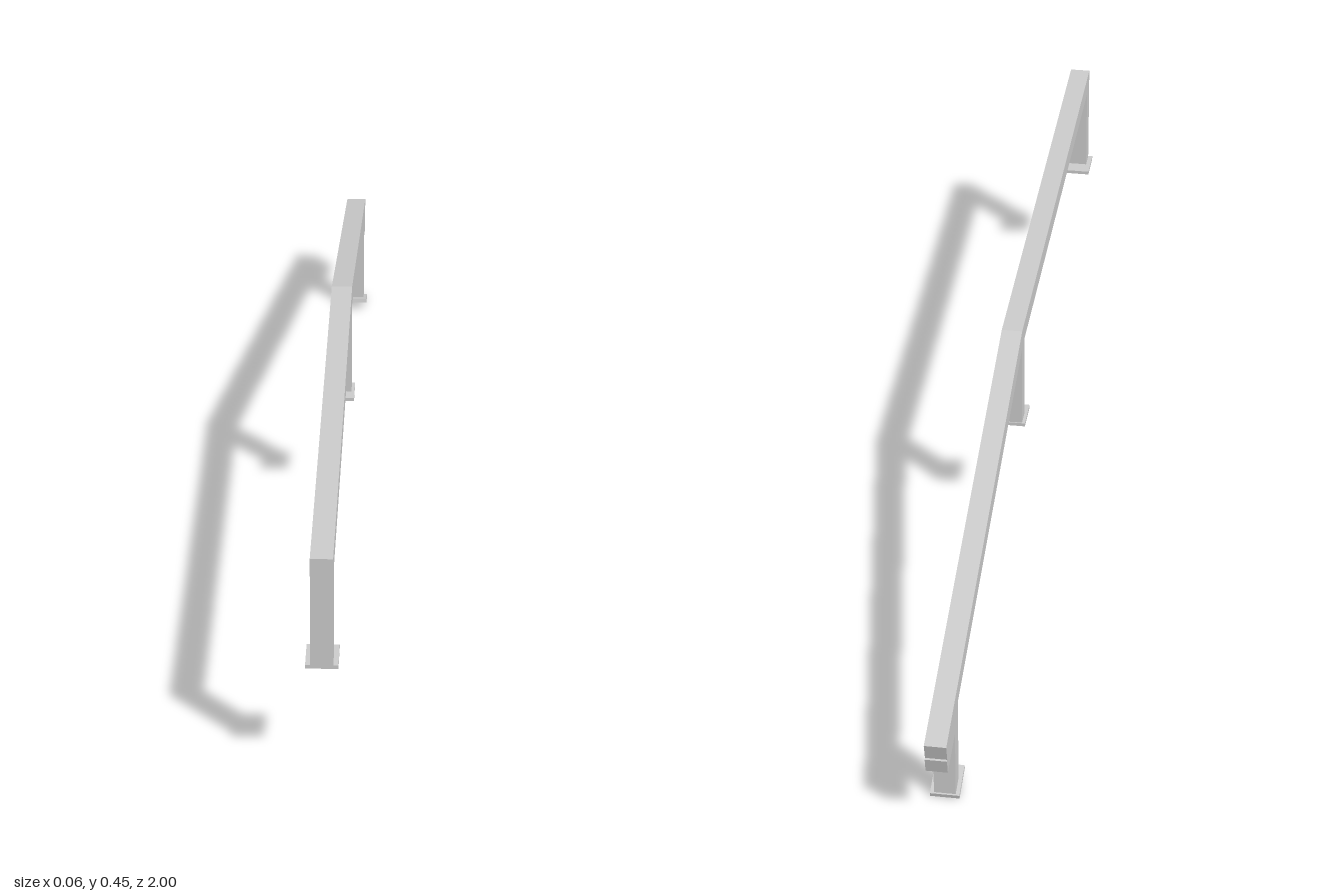
import * as THREE from 'three';

const material = new THREE.MeshStandardMaterial({ color: 0xcccccc, flatShading: true });

// Side outline given as [z, y] points, extruded across x and centred
function sidePart(name, width, points) {
  const shape = new THREE.Shape(points.map(([z, y]) => new THREE.Vector2(z, y)));
  const geometry = new THREE.ExtrudeGeometry(shape, { depth: width, bevelEnabled: false });
  geometry.translate(0, 0, -width / 2).rotateY(-Math.PI / 2);
  const mesh = new THREE.Mesh(geometry, material);
  mesh.name = name;
  return mesh;
}

const rect = (z0, z1, y0, y1) => [[z0, y0], [z1, y0], [z1, y1], [z0, y1]];

export function createModel() {
  const group = new THREE.Group();
  group.name = 'handrail';

  const bar = 0.04;                       // tube width across x
  const top = 0.453, under = 0.416;       // level rail heights
  const bend = -0.045;                    // where the rail starts to descend
  const slope = Math.tan(THREE.MathUtils.degToRad(15));
  const topAt = z => top + (z - bend) * slope;
  const underAt = z => topAt(z) - 0.038;

  // Level rail, mitred into the sloping rail
  const miter = [bend + 0.005, under];
  group.add(sidePart('levelRail', bar, [[1, top], [1, under], miter, [bend, top]]));
  group.add(sidePart('slopingRail', bar,
    [[bend, top], miter, [-0.99, underAt(-0.99)], [-1, topAt(-1)]]));

  // Short stub under the low end of the sloping rail
  group.add(sidePart('endStub', bar, [
    [-0.903, underAt(-0.903)], [-0.903, underAt(-0.903) - 0.034],
    [-0.986, underAt(-0.986) - 0.034], [-0.994, underAt(-0.994)],
  ]));

  // Posts
  group.add(sidePart('frontPost', bar, rect(0.963, 1, 0.238, under)));
  group.add(sidePart('middlePost', bar, rect(-0.046, -0.01, 0.238, under)));
  group.add(sidePart('rearPost', bar, [
    [-0.903, 0.007], [-0.868, 0.017], [-0.868, underAt(-0.868)], [-0.903, underAt(-0.903)],
  ]));

  // Foot plates; the rear one follows the slope
  group.add(sidePart('frontFootPlate', 0.058, rect(0.932, 1, 0.232, 0.239)));
  group.add(sidePart('middleFootPlate', 0.052, rect(-0.048, 0.018, 0.232, 0.239)));
  group.add(sidePart('rearFootPlate', 0.054,
    [[-0.904, 0], [-0.84, 0.019], [-0.842, 0.027], [-0.906, 0.008]]));

  return group;
}
